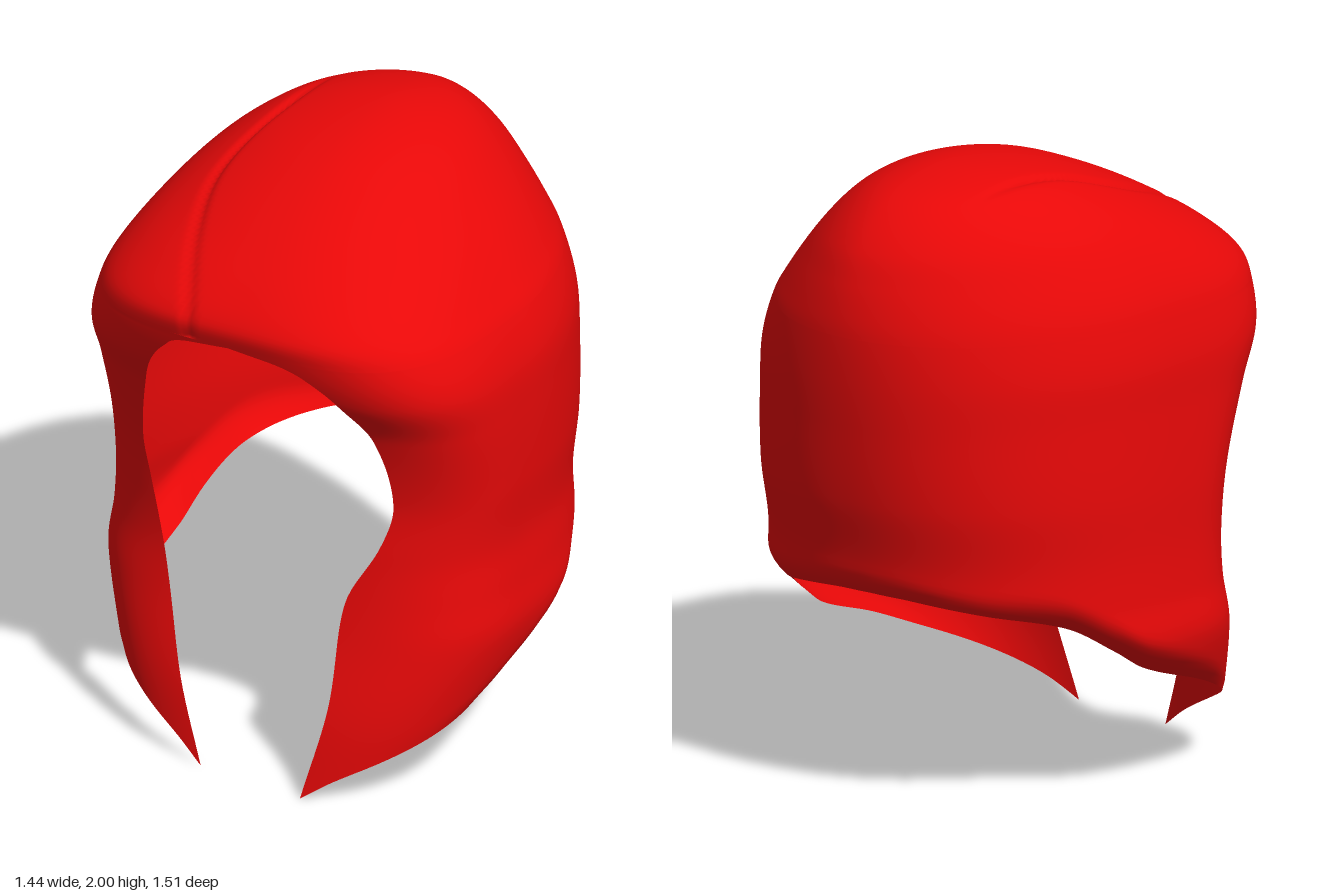
import * as THREE from 'three';
import { mergeVertices } from 'three/addons/utils/BufferGeometryUtils.js';

// Smooth (cubic) lookup: rows are [key, value, value, ...] with rising keys
function lookup(rows, key) {
  const last = rows.length - 1;
  let i = 0;
  while (i < last - 1 && key > rows[i + 1][0]) i++;
  const a = rows[i], b = rows[i + 1], p = rows[Math.max(i - 1, 0)], n = rows[Math.min(i + 2, last)];
  const h = b[0] - a[0], t = THREE.MathUtils.clamp((key - a[0]) / h, 0, 1);
  return a.slice(1).map((va, k) => {
    const vb = b[k + 1];
    const ma = (vb - p[k + 1]) / (b[0] - p[0]) * h, mb = (n[k + 1] - va) / (n[0] - a[0]) * h;
    const t2 = t * t, t3 = t2 * t;
    return (2 * t3 - 3 * t2 + 1) * va + (t3 - 2 * t2 + t) * ma + (3 * t2 - 2 * t3) * vb + (t3 - t2) * mb;
  });
}

const TOP = 2, FRINGE = 1.54;
const depth = (y) => Math.sqrt(Math.max(TOP - y, 0));

// Horizontal slices: y, centre z, front z, back z, right width, left width,
// front squareness, back squareness, setback of the right front lock
const slices = [
  [2.0, -0.2, -0.2, -0.2, 0, 0, 2, 2, 0],
  [1.985, -0.18, 0, -0.35, 0.17, 0.12, 2, 1.95, 0],
  [1.95, -0.15, 0.16, -0.485, 0.3, 0.22, 2.05, 1.9, 0],
  [1.9, -0.11, 0.3, -0.575, 0.39, 0.31, 2.1, 1.87, 0],
  [1.8, -0.05, 0.51, -0.67, 0.505, 0.43, 2.3, 1.87, 0],
  [1.7, 0, 0.665, -0.715, 0.58, 0.53, 2.65, 1.9, 0],
  [1.61, 0.03, 0.75, -0.74, 0.63, 0.605, 3, 1.95, 0],
  [1.54, 0.05, 0.745, -0.75, 0.655, 0.655, 3.3, 2, 0],
  [1.4, 0.07, 0.695, -0.752, 0.685, 0.705, 3.7, 2.08, 0],
  [1.25, 0.09, 0.605, -0.745, 0.692, 0.715, 3.6, 2.15, 0],
  [1.0, 0.1, 0.555, -0.725, 0.7, 0.71, 3, 2.25, 0.03],
  [0.8, 0.1, 0.575, -0.69, 0.7, 0.697, 2.8, 2.25, 0.07],
  [0.65, 0.1, 0.59, -0.685, 0.707, 0.71, 2.8, 2.25, 0.085],
  [0.5, 0.1, 0.615, -0.68, 0.72, 0.72, 2.8, 2.25, 0.08],
  [0.25, 0.1, 0.675, -0.65, 0.64, 0.65, 2.9, 2.25, 0.06],
  [0, 0.1, 0.71, -0.6, 0.57, 0.57, 2.8, 2.25, 0.05],
].map(([y, ...v]) => [depth(y), ...v]);

// Face opening: y, half width on the right, half width on the left
const opening = [
  [0, 0.15, 0.23], [0.3, 0.27, 0.3], [0.65, 0.39, 0.32], [0.85, 0.44, 0.42], [1.0, 0.46, 0.46],
  [1.25, 0.39, 0.43], [1.4, 0.31, 0.36], [1.48, 0.24, 0.27], [1.52, 0.17, 0.17], [1.54, 0, 0],
];

// Lower hem from the front tips (0) to the nape (1): height, inward tuck
const hem = [[0, 0, 0], [0.06, 0.07, 0], [0.14, 0.14, 0], [0.27, 0.24, 0.01], [0.38, 0.325, 0.05],
  [0.53, 0.42, 0.1], [0.6, 0.5, 0.11], [0.69, 0.6, 0.09], [0.82, 0.66, 0.05], [0.93, 0.69, 0.05], [1, 0.695, 0.05]];

// Parting line on the crown: z, x
const parting = [[-0.45, -0.24], [-0.1, -0.27], [0.25, -0.32], [0.5, -0.26], [0.76, -0.14]];

// Point of the shell at height y and angle t (0 = front, growing towards the left side)
function shellPoint(y, t) {
  const [c, zf, zb, wr, wl, nf, nb, back] = lookup(slices, depth(y));
  const s = Math.sin(t), k = Math.cos(t);
  const front = s > 0 ? zf : zf - back;
  const w = Math.max(s > 0 ? wl : wr, 1e-4), d = Math.max(k > 0 ? front - c : c - zb, 1e-4);
  const n = k > 0 ? nf : nb;
  const r = Math.pow(Math.pow(Math.abs(s) / w, n) + Math.pow(Math.abs(k) / d, n), -1 / n);
  const p = new THREE.Vector3(r * s, y, c + r * k);
  // Shallow groove along the parting
  if (y >= FRINGE) {
    const off = (p.x - lookup(parting, p.z)[0]) / 0.014;
    const fade = THREE.MathUtils.smoothstep(p.z, -0.42, -0.1);
    const g = 0.014 * fade * Math.exp(-off * off);
    p.add(new THREE.Vector3(-p.x, 1.2 - p.y, -p.z).normalize().multiplyScalar(g));
  }
  return p;
}

function hairGeometry() {
  const COLS = 240, DOME = 70, LOWER = 80, pos = [], index = [];
  for (let j = 0; j <= DOME + LOWER; j++) {
    const dome = j <= DOME;
    const q = dome ? j / DOME : (j - DOME) / LOWER;
    const rise = 1 - q * q; // share of the way from hem up to fringe
    // Angles at which this row meets the face opening
    let right = 0, left = 0;
    if (!dome) {
      const y = FRINGE * rise, [c, zf, , wr, wl, nf, , back] = lookup(slices, depth(y));
      const [xr, xl] = lookup(opening, y);
      const edge = (x, w, z) => Math.atan2(x, (z - c) * Math.pow(1 - Math.pow(x / w, nf), 1 / nf));
      right = edge(xr, wr, zf - back);
      left = edge(xl, wl, zf);
    }
    for (let i = 0; i <= COLS; i++) {
      const f = i / COLS;
      const t = THREE.MathUtils.lerp(left, Math.PI * 2 - right, f);
      const [low, tuck] = lookup(hem, 1 - Math.abs(2 * f - 1));
      const y = dome ? TOP - (TOP - FRINGE) * q * q : low + (FRINGE - low) * rise;
      const p = shellPoint(y, t);
      // Hem curls inwards under the sides and nape
      const curl = 1 - tuck * Math.pow(Math.max(0, 1 - (y - low) / (0.03 + tuck)), 2);
      pos.push(p.x * curl, p.y, 0.1 + (p.z - 0.1) * curl);
      if (j && i) {
        const d = j * (COLS + 1) + i, c = d - 1, b = d - COLS - 1, a = b - 1;
        index.push(a, c, b, b, c, d);
      }
    }
  }
  let geo = new THREE.BufferGeometry();
  geo.setAttribute('position', new THREE.Float32BufferAttribute(pos, 3));
  geo.setIndex(index);
  geo = mergeVertices(geo, 1e-5);
  geo.computeVertexNormals();
  return geo;
}

export function createModel() {
  const group = new THREE.Group();
  group.name = 'bobHair';
  const red = new THREE.MeshStandardMaterial({ color: 0xe80808, side: THREE.DoubleSide });
  red.name = 'hair red';
  const hair = new THREE.Mesh(hairGeometry(), red);
  hair.name = 'hairShell';
  group.add(hair);
  return group;
}
